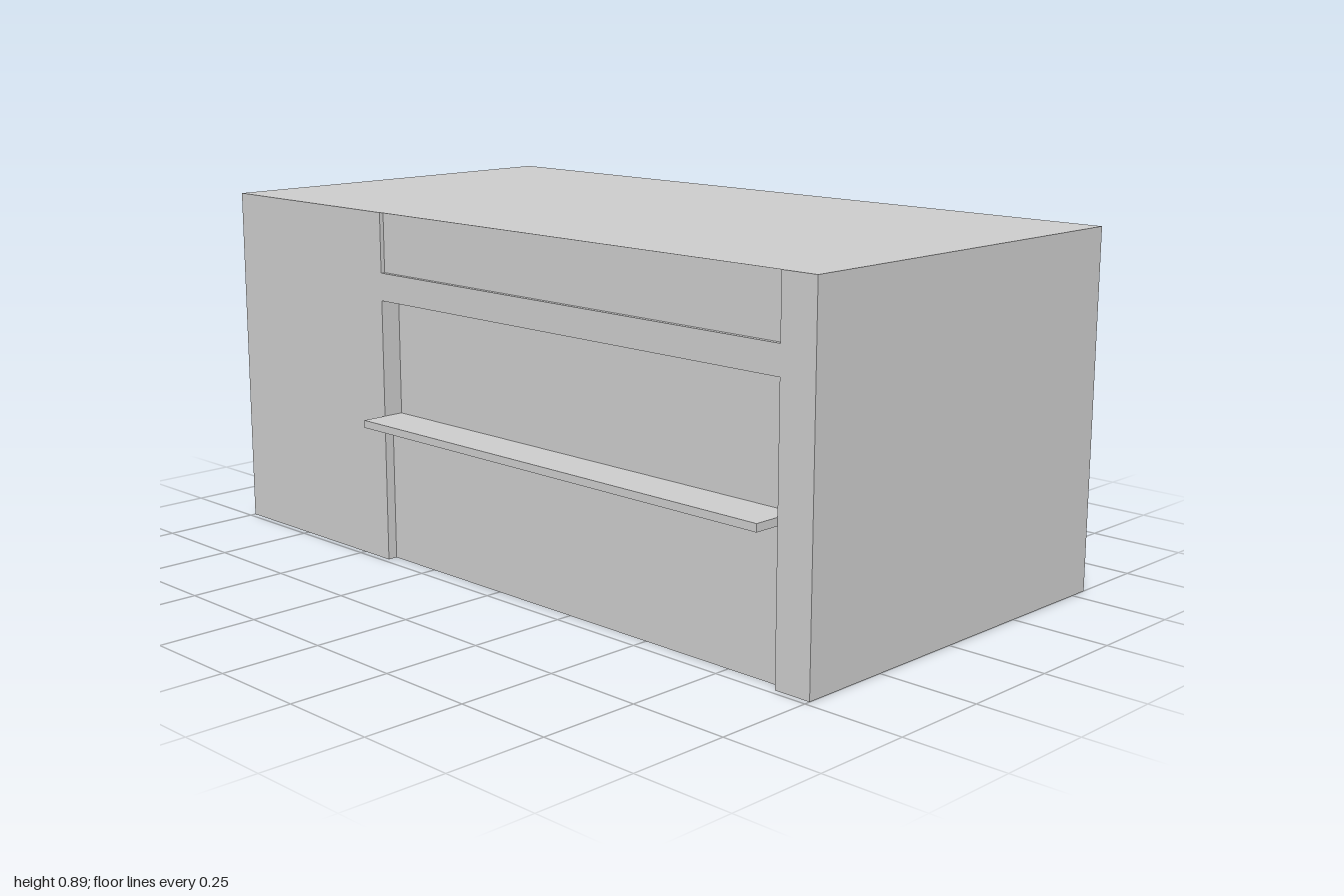
import * as THREE from 'three';

const TOP = 0.893, BACK = -0.55, FRONT = 0.485;
const LEFT = 0.905, RIGHT = -0.402; // sides of the counter opening
const SHELF_LOW = 0.358, SHELF_TOP = 0.377, HEAD = 0.672, FASCIA = 0.742;
const REVEAL_Z = 0.395, WINDOW_Z = 0.432, LOWER_Z = 0.46, FASCIA_Z = 0.474;

export function createModel() {
  const model = new THREE.Group();
  const material = new THREE.MeshStandardMaterial({
    color: 0xcccccc, flatShading: true, side: THREE.DoubleSide,
  });

  function add(name, geometry, x = 0, y = 0, z = 0) {
    const mesh = new THREE.Mesh(geometry, material);
    mesh.name = name;
    mesh.position.set(x, y, z);
    model.add(mesh);
    return mesh;
  }
  // Thin upright panel facing +z
  function panel(name, x0, x1, y0, y1, z) {
    return add(name, new THREE.PlaneGeometry(x1 - x0, y1 - y0), (x0 + x1) / 2, (y0 + y1) / 2, z);
  }
  // Thin sheet across x
  function side(name, x, y0, y1, z0, z1) {
    const mesh = add(name, new THREE.PlaneGeometry(z1 - z0, y1 - y0), x, (y0 + y1) / 2, (z0 + z1) / 2);
    mesh.rotation.y = x > 0 ? Math.PI / 2 : -Math.PI / 2;
  }
  // Thin level sheet
  function level(name, x0, x1, y, z0, z1) {
    const mesh = add(name, new THREE.PlaneGeometry(x1 - x0, z1 - z0), (x0 + x1) / 2, y, (z0 + z1) / 2);
    mesh.rotation.x = -Math.PI / 2;
  }

  // Outer shell, open underneath
  level('roof', -1, 1, TOP, BACK, FRONT);
  panel('backWall', -1, 1, 0, TOP, BACK).rotation.y = Math.PI;
  for (const x of [-1, 1]) side('sideWall', x, 0, TOP, BACK, FRONT);

  // Front wall, cut out for the counter below and the fascia above
  const outline = [
    [-1, 0], [RIGHT, 0], [RIGHT, HEAD], [LEFT, HEAD], [LEFT, 0], [1, 0],
    [1, TOP], [LEFT, TOP], [LEFT, FASCIA], [RIGHT, FASCIA], [RIGHT, TOP], [-1, TOP],
  ].map(([x, y]) => new THREE.Vector2(x, y));
  add('frontWall', new THREE.ShapeGeometry(new THREE.Shape(outline)), 0, 0, FRONT);

  // Recessed panels
  panel('fasciaPanel', RIGHT, LEFT, FASCIA, TOP, FASCIA_Z);
  panel('windowPanel', RIGHT, LEFT, SHELF_TOP, HEAD, WINDOW_Z);
  panel('lowerPanel', RIGHT, LEFT, 0, SHELF_LOW, LOWER_Z);

  // Returns around the recesses
  for (const x of [RIGHT, LEFT]) {
    side('fasciaReturn', x, FASCIA, TOP, FASCIA_Z, FRONT);
    side('windowJamb', x, SHELF_TOP, HEAD, REVEAL_Z, FRONT);
    side('lowerJamb', x, 0, SHELF_TOP, LOWER_Z, FRONT);
  }
  level('fasciaLedge', RIGHT, LEFT, FASCIA, FASCIA_Z, FRONT);
  level('windowHead', RIGHT, LEFT, HEAD, REVEAL_Z, FRONT);
  level('windowSill', RIGHT, LEFT, SHELF_TOP, REVEAL_Z, WINDOW_Z);

  // Serving shelf
  const shelfDepth = 0.55 - WINDOW_Z;
  add('counterShelf', new THREE.BoxGeometry(LEFT - RIGHT, SHELF_TOP - SHELF_LOW, shelfDepth),
    (LEFT + RIGHT) / 2, (SHELF_LOW + SHELF_TOP) / 2, WINDOW_Z + shelfDepth / 2);

  return model;
}
